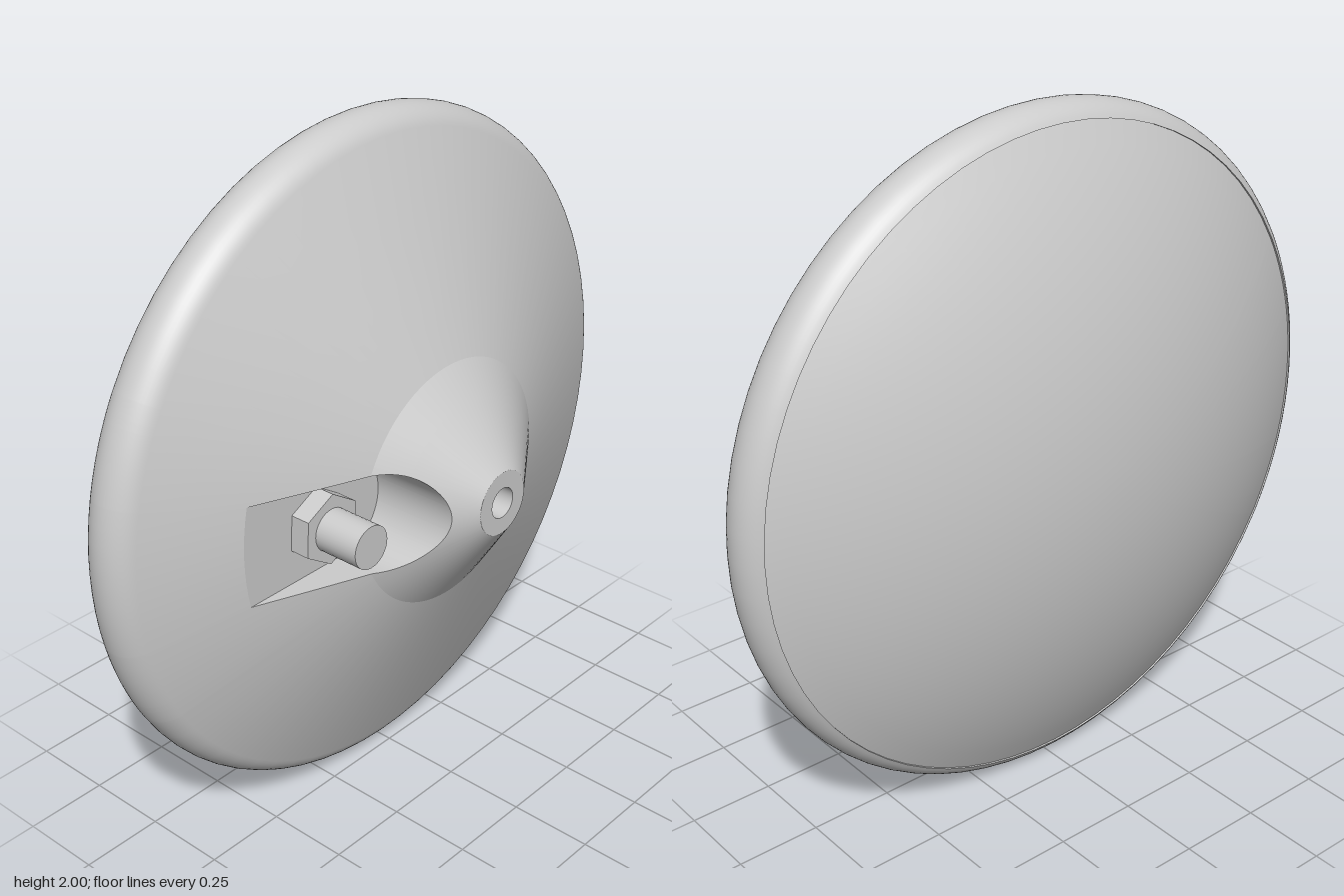
import * as THREE from 'three';
import { toCreasedNormals } from 'three/addons/utils/BufferGeometryUtils.js';

const HUB_R = 0.095, HUB_Z = 0.41, KNEE_R = 0.36, KNEE_Z = 0.225;
const EDGE_R = 0.942, EDGE_Z = -0.006;
const RIM_R = 0.91, RIM_Z = -0.09, RIM_RADIUS = 0.09;
const BACK_RADIUS = 1.96, BACK_ANGLE = 0.508;
const SLOT_X = 0.31, SLOT_R = 0.15, FLOOR = 0.1;
const SLOT_ANGLE = Math.asin(SLOT_R / SLOT_X);

// height of the two front cones at a radius
const frontZ = (r) => r < KNEE_R
  ? THREE.MathUtils.mapLinear(r, HUB_R, KNEE_R, HUB_Z, KNEE_Z)
  : THREE.MathUtils.mapLinear(r, KNEE_R, EDGE_R, KNEE_Z, EDGE_Z);
// radius at which the slot floor runs out of the outer cone
const FLOOR_R = THREE.MathUtils.mapLinear(FLOOR, KNEE_Z, EDGE_Z, KNEE_R, EDGE_R);

// where a ray at angle a from the slot axis enters and leaves the slot
function slotSpan(a) {
  const mid = SLOT_X * Math.cos(a);
  const half = Math.sqrt(Math.max(0, SLOT_R ** 2 - (SLOT_X * Math.sin(a)) ** 2));
  let exit = mid + half;
  if (exit * Math.cos(a) > SLOT_X - 1e-6) exit = Math.min(FLOOR_R, SLOT_R / Math.max(1e-6, Math.abs(Math.sin(a))));
  return [mid - half, exit];
}

// rounded rim and domed back, shared by every column
const rimAndBack = [];
for (let i = 0; i <= 18; i++) {
  const t = THREE.MathUtils.lerp(1.192, -1.063, i / 18);
  rimAndBack.push([RIM_R + RIM_RADIUS * Math.cos(t), RIM_Z + RIM_RADIUS * Math.sin(t)]);
}
for (let i = 14; i >= 0; i--) {
  const t = BACK_ANGLE * i / 14;
  rimAndBack.push([BACK_RADIUS * Math.sin(t), BACK_RADIUS - 0.41 - BACK_RADIUS * Math.cos(t)]);
}

// half section of the body at one angle, from the centre hole round to the back
function column(a, inSlot) {
  const [r0, r1] = slotSpan(inSlot ? a : SLOT_ANGLE);
  const z0 = frontZ(r0), z1 = frontZ(r1);
  const r2 = Math.max(r1, KNEE_R);
  const section = [
    [0, 0.21], [0.045, 0.21], [0.045, HUB_Z], [HUB_R, HUB_Z],
    [r0, z0], [r0, inSlot ? FLOOR : z0], [r1, inSlot ? FLOOR : z1], [r1, z1],
    [r2, frontZ(r2)], ...rimAndBack,
  ];
  return section.map(([r, z]) => new THREE.Vector3(-r * Math.cos(a), -r * Math.sin(a), z));
}

function bodyGeometry() {
  // slot angles, including the corners of its outline
  const half = [SLOT_R / FLOOR_R, SLOT_R / KNEE_R].map(Math.asin);
  half.push(Math.atan(SLOT_R / SLOT_X));
  for (let k = 1; k <= 14; k++) half.push(SLOT_ANGLE * Math.sin(k / 14 * Math.PI / 2));
  const slotAngles = [...half.map((a) => -a), 0, ...half].sort((a, b) => a - b);
  const columns = slotAngles.map((a) => column(a, true));
  const steps = 60;
  for (let k = 0; k <= steps; k++) {
    columns.push(column(THREE.MathUtils.lerp(SLOT_ANGLE, Math.PI * 2 - SLOT_ANGLE, k / steps), false));
  }

  // skin between neighbouring columns, leaving out empty triangles
  const positions = [];
  const scale = 100; // creasing compares positions coarsely, so work large
  const tri = new THREE.Triangle();
  const add = (a, b, c) => {
    if (tri.set(a, b, c).getArea() < 1e-9) return;
    for (const p of [a, b, c]) positions.push(p.x * scale, p.y * scale, p.z * scale);
  };
  columns.forEach((c, j) => {
    const d = columns[(j + 1) % columns.length];
    for (let i = 0; i < c.length - 1; i++) {
      add(c[i], c[i + 1], d[i + 1]);
      add(c[i], d[i + 1], d[i]);
    }
  });
  const geometry = new THREE.BufferGeometry();
  geometry.setAttribute('position', new THREE.Float32BufferAttribute(positions, 3));
  return toCreasedNormals(geometry, 0.19).scale(1 / scale, 1 / scale, 1 / scale);
}

export function createModel() {
  const model = new THREE.Group();
  const grey = new THREE.MeshStandardMaterial({ color: 0xcccccc });
  const flatGrey = new THREE.MeshStandardMaterial({ color: 0xcccccc, flatShading: true });

  // dished body with centre hole and open slot
  const body = new THREE.Mesh(bodyGeometry(), grey);
  body.name = 'dishBody';
  body.position.y = 1;
  model.add(body);

  // cylinder along z between two depths, standing in the slot
  const post = (name, radius, sides, back, front, material, turn = 0) => {
    const geometry = new THREE.CylinderGeometry(radius, radius, front - back, sides);
    geometry.rotateX(Math.PI / 2).rotateZ(turn);
    const mesh = new THREE.Mesh(geometry, material);
    mesh.name = name;
    mesh.position.set(-0.41, 1, (back + front) / 2);
    model.add(mesh);
  };
  post('hexNut', 0.105, 6, FLOOR - 0.01, 0.16, flatGrey, THREE.MathUtils.degToRad(-3));
  post('threadlessStud', 0.0625, 32, FLOOR - 0.01, 0.3, grey);

  return model;
}
